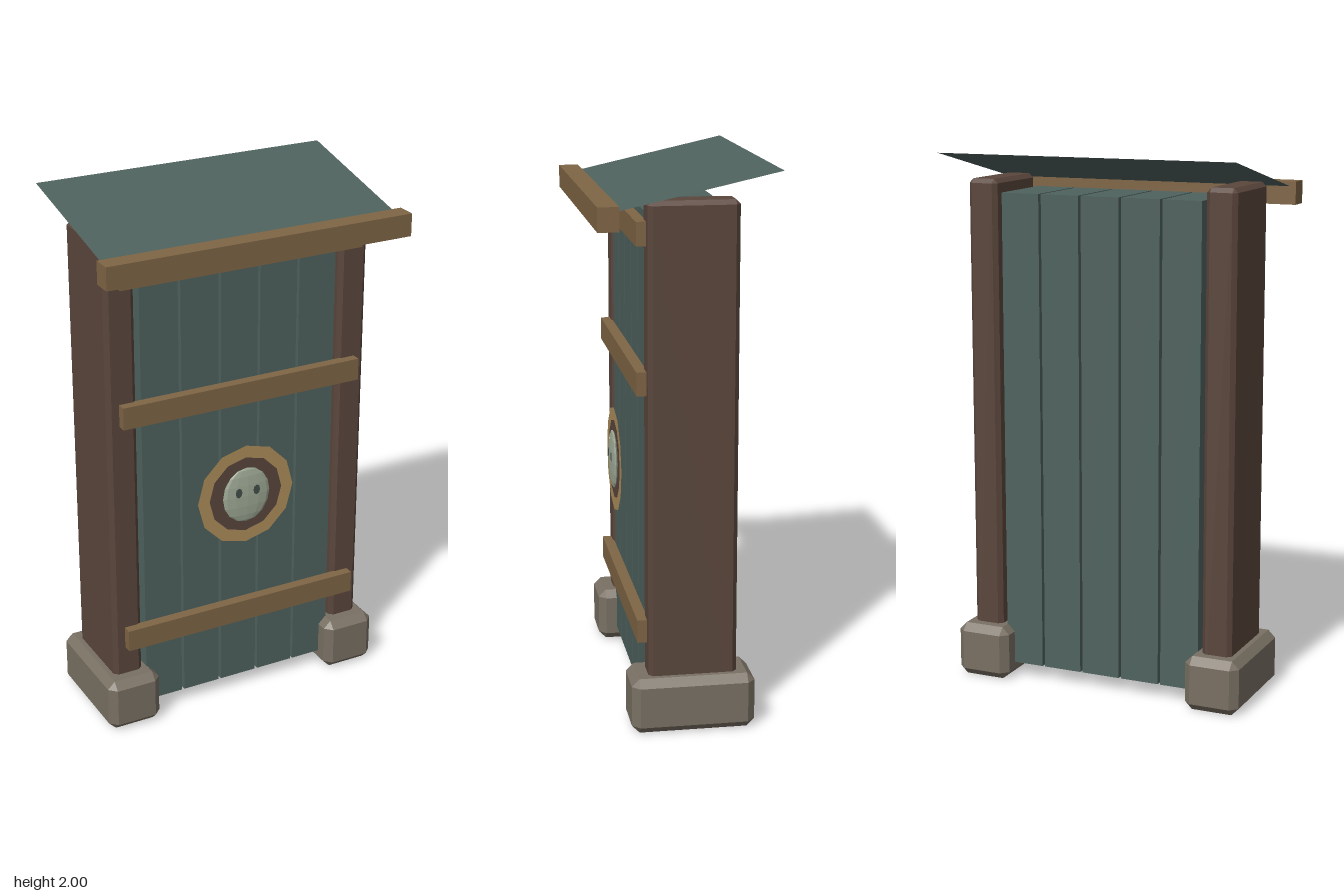
import * as THREE from 'three';
import { ConvexGeometry } from 'three/addons/geometries/ConvexGeometry.js';

const mat = (name, color, extra = {}) => {
  const m = new THREE.MeshStandardMaterial({ color, ...extra });
  m.name = name;
  return m;
};

// Box with every edge cut at 45 degrees
function chamferBox(w, h, d, b) {
  const [x, y, z] = [w / 2, h / 2, d / 2];
  const points = [];
  for (const sx of [-1, 1]) for (const sy of [-1, 1]) for (const sz of [-1, 1]) {
    points.push(
      new THREE.Vector3(sx * x, sy * (y - b), sz * (z - b)),
      new THREE.Vector3(sx * (x - b), sy * y, sz * (z - b)),
      new THREE.Vector3(sx * (x - b), sy * (y - b), sz * z));
  }
  return new ConvexGeometry(points);
}

export function createModel() {
  const model = new THREE.Group();
  model.name = 'plankDoor';

  const slate = mat('slate green', 0x4f625e, { side: THREE.DoubleSide });
  const darkWood = mat('dark wood', 0x5a463c, { side: THREE.DoubleSide });
  const midWood = mat('mid wood', 0x7f6545);
  const paleWood = mat('pale wood', 0xae8d5b, { side: THREE.DoubleSide });
  const stone = mat('stone', 0x797063);
  const paleGreen = mat('pale green', 0xa0ab97, { flatShading: true });
  const eyeDark = mat('eye dark', 0x434f4b);

  const add = (name, geometry, material, x, y, z) => {
    const mesh = new THREE.Mesh(geometry, material);
    mesh.name = name;
    mesh.position.set(x, y, z);
    model.add(mesh);
    return mesh;
  };

  // Posts standing in chamfered stone feet
  const footGeo = chamferBox(0.21, 0.205, 0.445, 0.028);
  const postGeo = chamferBox(0.115, 1.895, 0.318, 0.016);
  for (const [side, s] of [['left', 1], ['right', -1]]) {
    add(side + 'Foot', footGeo, stone, s * 0.467, 0.1025, -0.0225);
    add(side + 'Post', postGeo, darkWood, s * 0.4675, 0.9525, -0.024);
  }

  // Five upright planks with narrow gaps
  const plankGeo = new THREE.BoxGeometry(0.149, 1.797, 0.3);
  for (let i = -2; i <= 2; i++) add('plank', plankGeo, slate, i * 0.159, 0.9535, -0.02);

  // Cross rails
  const railGeo = new THREE.BoxGeometry(0.96, 0.084, 0.04);
  for (const y of [0.36, 1.265, 1.785]) add('rail', railGeo, midWood, 0, y, 0.15);

  // Roof sheet rising to the back, with an eave beam along its front
  const [zBack, zFront, yBack, yFront] = [-0.318, 0.28, 2, 1.868];
  const roof = add('roof', new THREE.PlaneGeometry(1.144, Math.hypot(zFront - zBack, yBack - yFront)),
    slate, 0, (yBack + yFront) / 2, (zBack + zFront) / 2);
  roof.rotation.x = -Math.PI / 2 + Math.atan2(yBack - yFront, zFront - zBack);
  add('eaveBeam', new THREE.BoxGeometry(1.185, 0.084, 0.074), midWood, -0.002, 1.852, 0.277);

  // Round emblem: ring, backing disc, flattened mask and eyes
  add('emblemRing', new THREE.RingGeometry(0.15, 0.198, 12), paleWood, 0, 0.866, 0.185);
  add('emblemDisc', new THREE.CircleGeometry(0.155, 12), darkWood, 0, 0.866, 0.182);
  const mask = add('mask', new THREE.SphereGeometry(1, 12, 8), paleGreen, 0, 0.866, 0.189);
  mask.scale.set(0.097, 0.11, 0.0125);
  for (const s of [-1, 1]) {
    const eye = add('eye', new THREE.CircleGeometry(1, 8), eyeDark, s * 0.037, 0.884, 0.2015);
    eye.scale.set(0.014, 0.02, 1);
  }
  return model;
}
